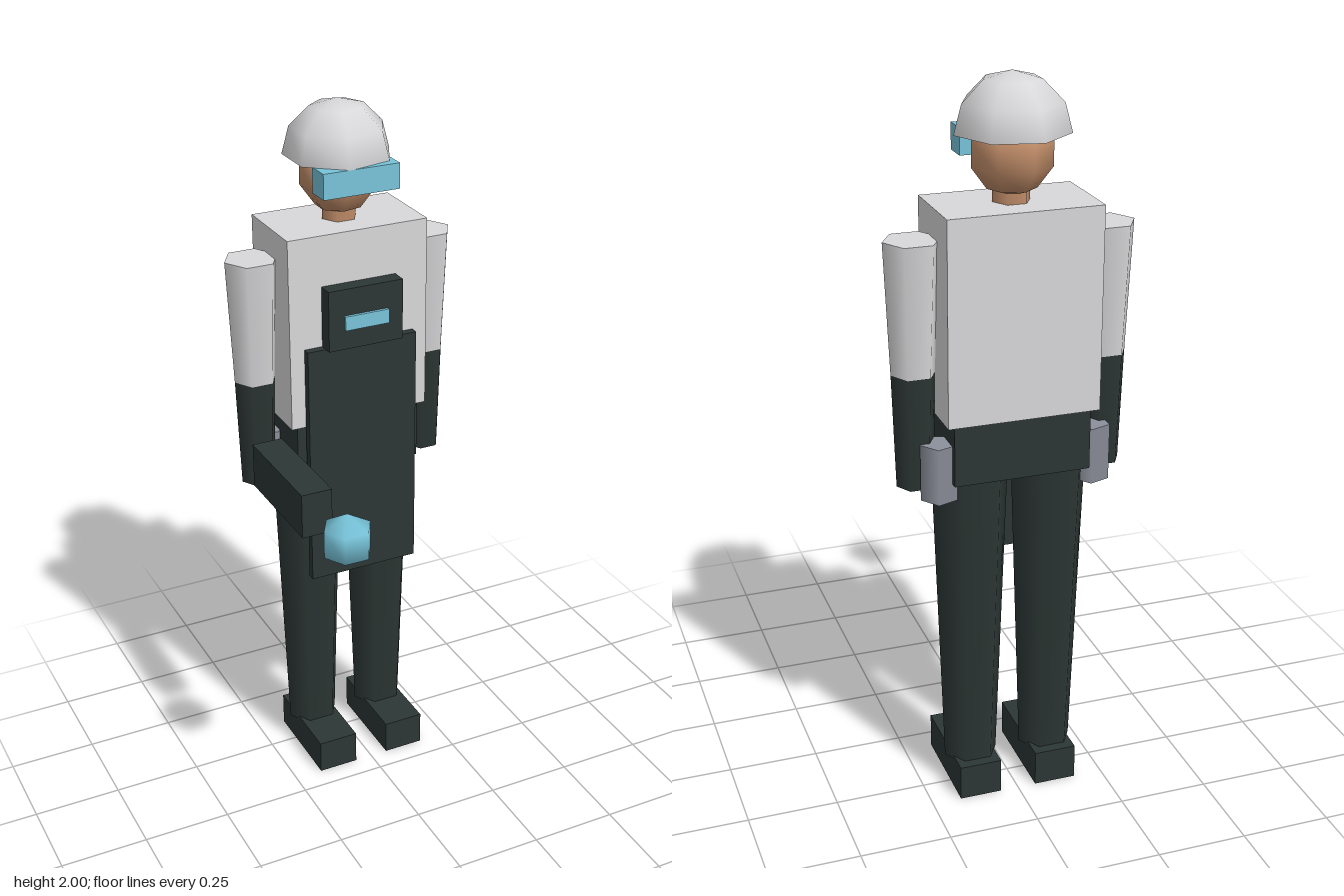
import * as THREE from 'three';

const mat = (name, color, extra = {}) => {
  const m = new THREE.MeshStandardMaterial({ color, ...extra });
  m.name = name;
  return m;
};

export function createModel() {
  const root = new THREE.Group();
  root.name = 'helmetedFigure';
  const armor = mat('paleArmor', 0xd8d8da);
  const shell = armor.clone();
  shell.side = THREE.DoubleSide; // open helmet rim
  const dark = mat('darkCloth', 0x2c3634);
  const blue = mat('glowBlue', 0x78c4da);
  const skin = mat('skin', 0xc08c68);
  const steel = mat('steelGrey', 0x8c909b);

  const add = (name, geometry, material) => {
    const mesh = new THREE.Mesh(geometry, material);
    mesh.name = name;
    root.add(mesh);
    return mesh;
  };
  // Box given by its extents on each axis
  const box = (name, material, [x0, x1], [y0, y1], [z0, z1]) =>
    add(name, new THREE.BoxGeometry(x1 - x0, y1 - y0, z1 - z0)
      .translate((x0 + x1) / 2, (y0 + y1) / 2, (z0 + z1) / 2), material);
  // Upright tapered prism with a corner pointing along +x
  const post = (name, material, x, z, y0, y1, rBottom, rTop, sides) =>
    add(name, new THREE.CylinderGeometry(rTop, rBottom, y1 - y0, sides)
      .rotateY(Math.PI / 2).translate(x, (y0 + y1) / 2, z), material);

  const Z = -0.25; // body axis

  // Head, helmet and visor
  post('neck', skin, 0, Z, 1.66, 1.74, 0.05, 0.05, 6);
  add('head', new THREE.SphereGeometry(0.11, 7, 5)
    .rotateY(Math.PI).translate(0, 1.8, Z), skin);
  add('helmet', new THREE.SphereGeometry(0.15, 7, 3, 0, Math.PI * 2, 0, Math.PI / 2)
    .rotateY(Math.PI).translate(0, 1.85, Z), shell);
  box('visor', blue, [-0.11, 0.11], [1.78, 1.85], [-0.175, -0.106]);

  // Trunk
  box('torso', armor, [-0.205, 0.205], [1.132, 1.677], [-0.367, -0.13]);
  box('pelvis', dark, [-0.185, 0.185], [0.965, 1.132], [-0.355, -0.14]);
  box('apron', dark, [-0.163, 0.163], [0.655, 1.363], [-0.13, -0.107]);
  box('chestPanel', dark, [-0.11, 0.11], [1.363, 1.535], [-0.13, -0.085]);
  box('chestLight', blue, [-0.065, 0.065], [1.42, 1.46], [-0.085, -0.076]);

  // Limbs and hip canisters, one of each per side
  for (const [side, s] of [['left', 1], ['right', -1]]) {
    post(side + 'UpperArm', armor, s * 0.26, Z, 1.25, 1.6, 0.06, 0.075, 6);
    post(side + 'Forearm', dark, s * 0.26, Z, 0.94, 1.25, 0.05, 0.06, 6);
    post(side + 'Leg', dark, s * 0.11, Z, 0.09, 1.03, 0.075, 0.108, 6);
    const foot = s * 0.11;
    box(side + 'Foot', dark, [foot - 0.059, foot + 0.059], [0, 0.1], [-0.344, -0.063]);
    post(side + 'HipCanister', steel, s * 0.21, -0.3, 0.915, 1.07, 0.05, 0.05, 5);
  }

  // Hand device with the orb floating ahead of it
  box('handDevice', dark, [-0.305, -0.218], [0.963, 1.09], [-0.175, 0.153]);
  add('orb', new THREE.SphereGeometry(0.075, 6, 3).translate(-0.262, 1.045, 0.338), blue);

  return root;
}
